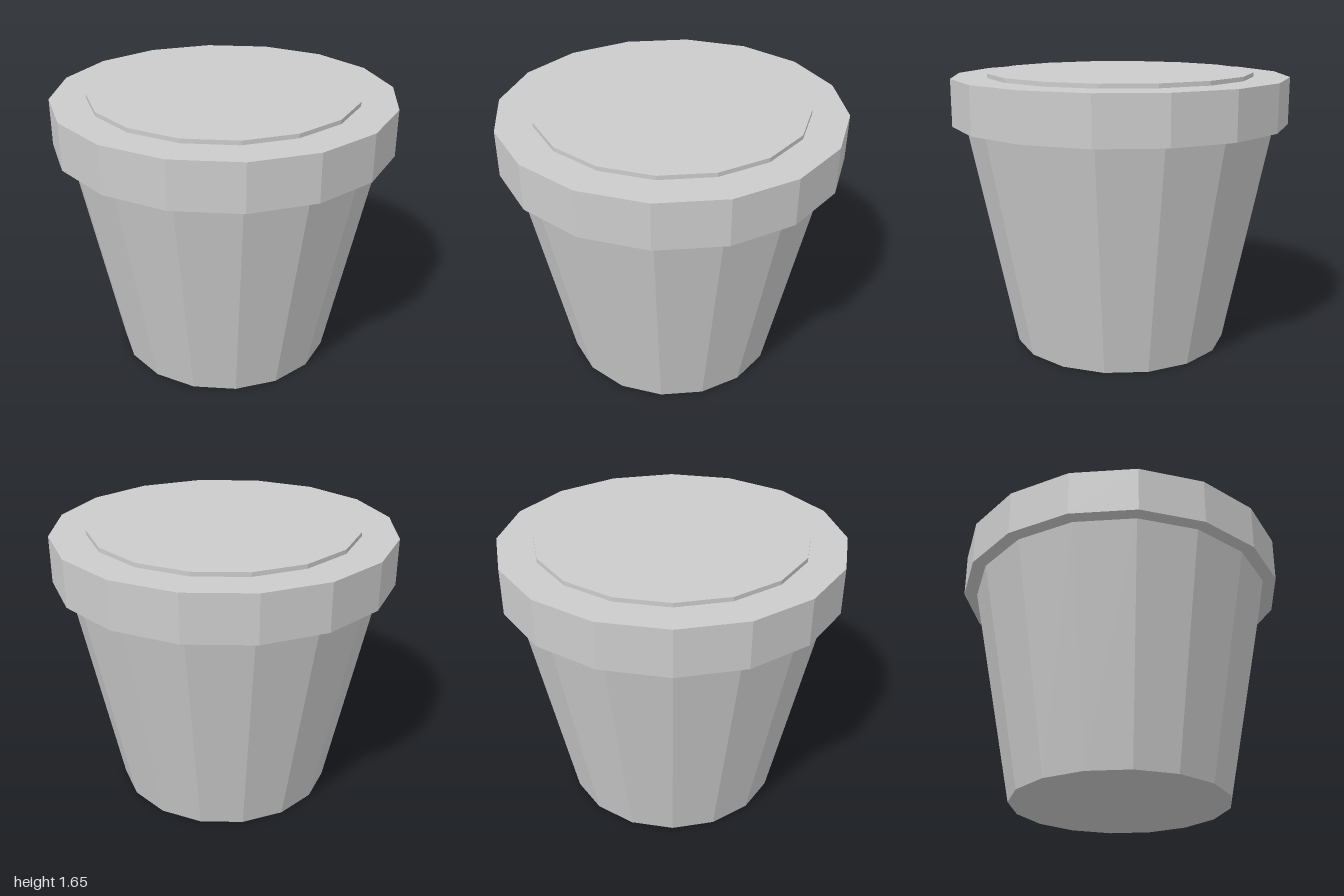
import * as THREE from 'three';

const SIDES = 16;

export function createModel() {
  const group = new THREE.Group();
  group.name = 'pot';

  const lightGrey = new THREE.MeshStandardMaterial({ color: 0xcccccc, flatShading: true });
  lightGrey.name = 'lightGrey';

  // Faceted round section standing between two heights
  function section(name, bottomRadius, topRadius, y0, y1) {
    const geometry = new THREE.CylinderGeometry(topRadius, bottomRadius, y1 - y0, SIDES);
    const mesh = new THREE.Mesh(geometry, lightGrey);
    mesh.name = name;
    mesh.position.y = (y0 + y1) / 2;
    group.add(mesh);
  }

  // Tapered body, overhanging rim and the low filling disc on top
  section('body', 0.65, 0.92, 0, 1.357);
  section('rim', 1, 1, 1.355, 1.63);
  section('filling', 0.79, 0.79, 1.625, 1.655);

  return group;
}
